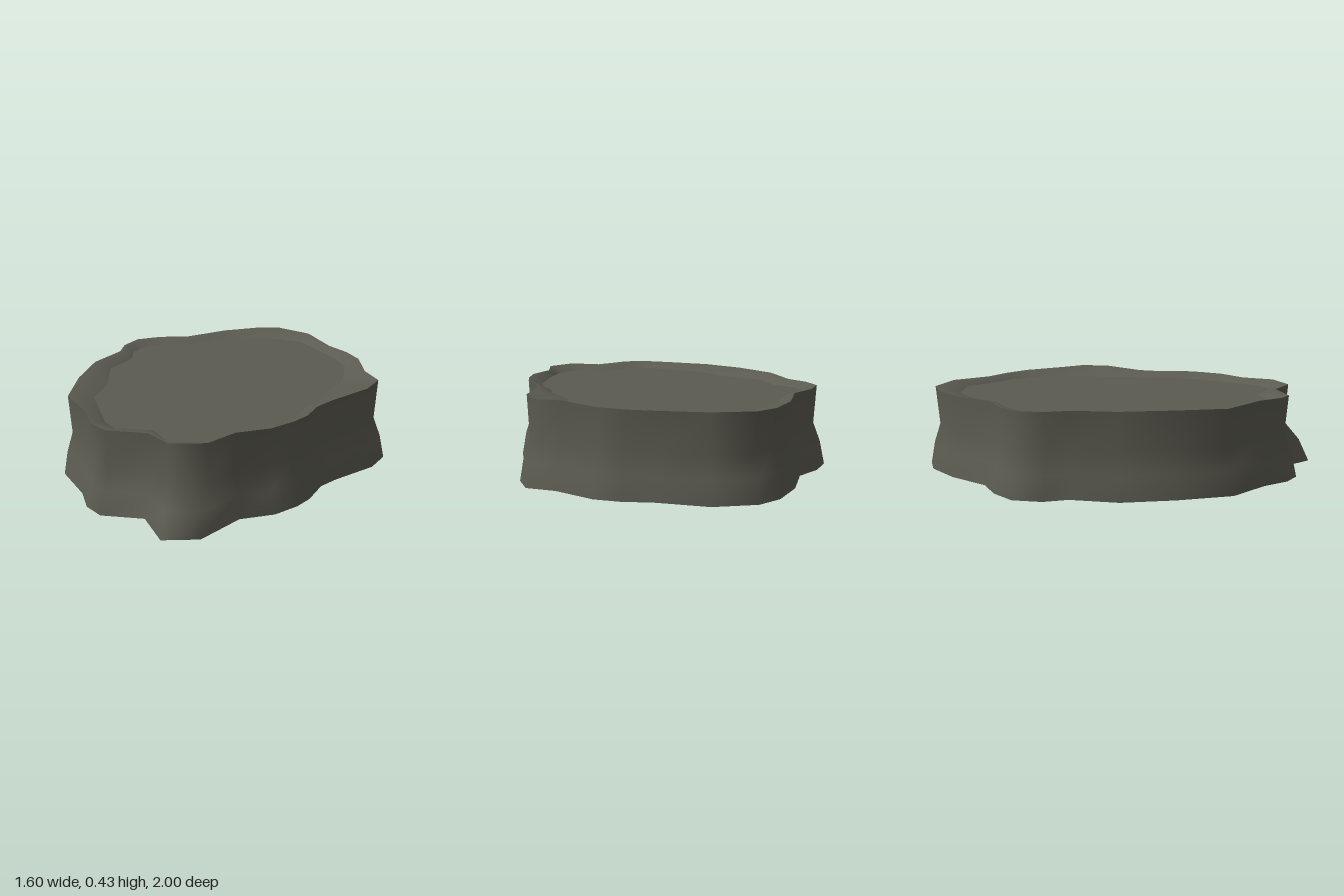
import * as THREE from 'three';

// Plan outlines as [x, z], clockwise from the back, matched point for point
const FOOT = [
  [-0.15, -1], [0.07, -0.97], [0.29, -0.82], [0.43, -0.76], [0.54, -0.68], [0.67, -0.48],
  [0.795, -0.38], [0.795, -0.23], [0.7, 0.01], [0.67, 0.12], [0.685, 0.28], [0.67, 0.38],
  [0.62, 0.51], [0.5, 0.64], [0.45, 0.9], [0.3, 1], [0.12, 0.865], [-0.08, 0.945],
  [-0.19, 0.905], [-0.3, 0.8], [-0.52, 0.665], [-0.65, 0.41], [-0.745, 0.155], [-0.74, -0.09],
  [-0.8, -0.2], [-0.8, -0.35], [-0.7, -0.47], [-0.56, -0.56], [-0.43, -0.78], [-0.28, -0.94],
];
const RIM = [
  [-0.15, -0.963], [0.06, -0.937], [0.26, -0.8], [0.4, -0.735], [0.51, -0.65], [0.63, -0.46],
  [0.745, -0.37], [0.75, -0.22], [0.66, 0], [0.635, 0.12], [0.65, 0.26], [0.63, 0.36],
  [0.58, 0.49], [0.465, 0.62], [0.42, 0.79], [0.27, 0.88], [0.12, 0.82], [-0.07, 0.895],
  [-0.17, 0.865], [-0.28, 0.765], [-0.5, 0.63], [-0.62, 0.39], [-0.705, 0.14], [-0.705, -0.09],
  [-0.755, -0.2], [-0.755, -0.33], [-0.67, -0.44], [-0.535, -0.53], [-0.41, -0.75], [-0.27, -0.9],
];
const CAP = [
  [-0.15, -0.825], [0.05, -0.86], [0.24, -0.745], [0.36, -0.68], [0.455, -0.59], [0.52, -0.43],
  [0.56, -0.3], [0.54, -0.19], [0.58, -0.01], [0.56, 0.11], [0.575, 0.22], [0.56, 0.34],
  [0.47, 0.56], [0.42, 0.65], [0.37, 0.73], [0.23, 0.81], [0.08, 0.725], [-0.08, 0.8],
  [-0.17, 0.76], [-0.3, 0.635], [-0.42, 0.52], [-0.48, 0.33], [-0.62, 0.12], [-0.625, -0.09],
  [-0.685, -0.19], [-0.685, -0.3], [-0.61, -0.4], [-0.49, -0.48], [-0.375, -0.655], [-0.26, -0.74],
];
const CAP_Y = 0.39;

const mix = (A, B, t) => A.map(([x, z], i) => [x + (B[i][0] - x) * t, z + (B[i][1] - z) * t]);
const rimY = ([x, z]) => 0.42 + (x > 0.6 && z < 0 ? 0.01 : 0) + 0.003 * Math.sin(x * 9 + z * 5);
const ring = (loop, height) =>
  loop.map((p) => new THREE.Vector3(p[0], typeof height === 'function' ? height(p) : height, p[1]));

// Skin between stacked closed rings, facing outward
function loft(rings) {
  const n = rings[0].length;
  const index = [];
  for (let r = 0; r < rings.length - 1; r++) {
    for (let i = 0; i < n; i++) {
      const j = (i + 1) % n;
      const a = r * n + i, b = r * n + j, c = a + n, d = b + n;
      index.push(a, c, b, b, c, d);
    }
  }
  const geometry = new THREE.BufferGeometry().setFromPoints(rings.flat());
  geometry.setIndex(index);
  geometry.computeVertexNormals();
  return geometry;
}

export function createModel() {
  const group = new THREE.Group();
  group.name = 'stump';
  const stone = new THREE.MeshStandardMaterial({ color: 0x5c5b51, side: THREE.DoubleSide });
  stone.name = 'greyBrown';

  const add = (name, geometry) => {
    const mesh = new THREE.Mesh(geometry, stone);
    mesh.name = name;
    group.add(mesh);
  };

  // Flared wall, pinched at the waist and open below
  const waist = RIM.map(([x, z]) => [x * 0.985, z * 0.98]);
  add('wall', loft([
    ring(FOOT, 0),
    ring(mix(FOOT, waist, 0.4), 0.12),
    ring(waist, 0.22),
    ring(RIM, rimY),
  ]));

  // Rounded lip falling inward to the sunken top
  add('lip', loft([
    ring(RIM, rimY),
    ring(mix(RIM, CAP, 0.4), 0.415),
    ring(CAP, CAP_Y),
  ]));

  // Flat top
  const shape = new THREE.Shape(CAP.map(([x, z]) => new THREE.Vector2(x, -z)));
  add('top', new THREE.ShapeGeometry(shape).rotateX(-Math.PI / 2).translate(0, CAP_Y, 0));

  return group;
}
